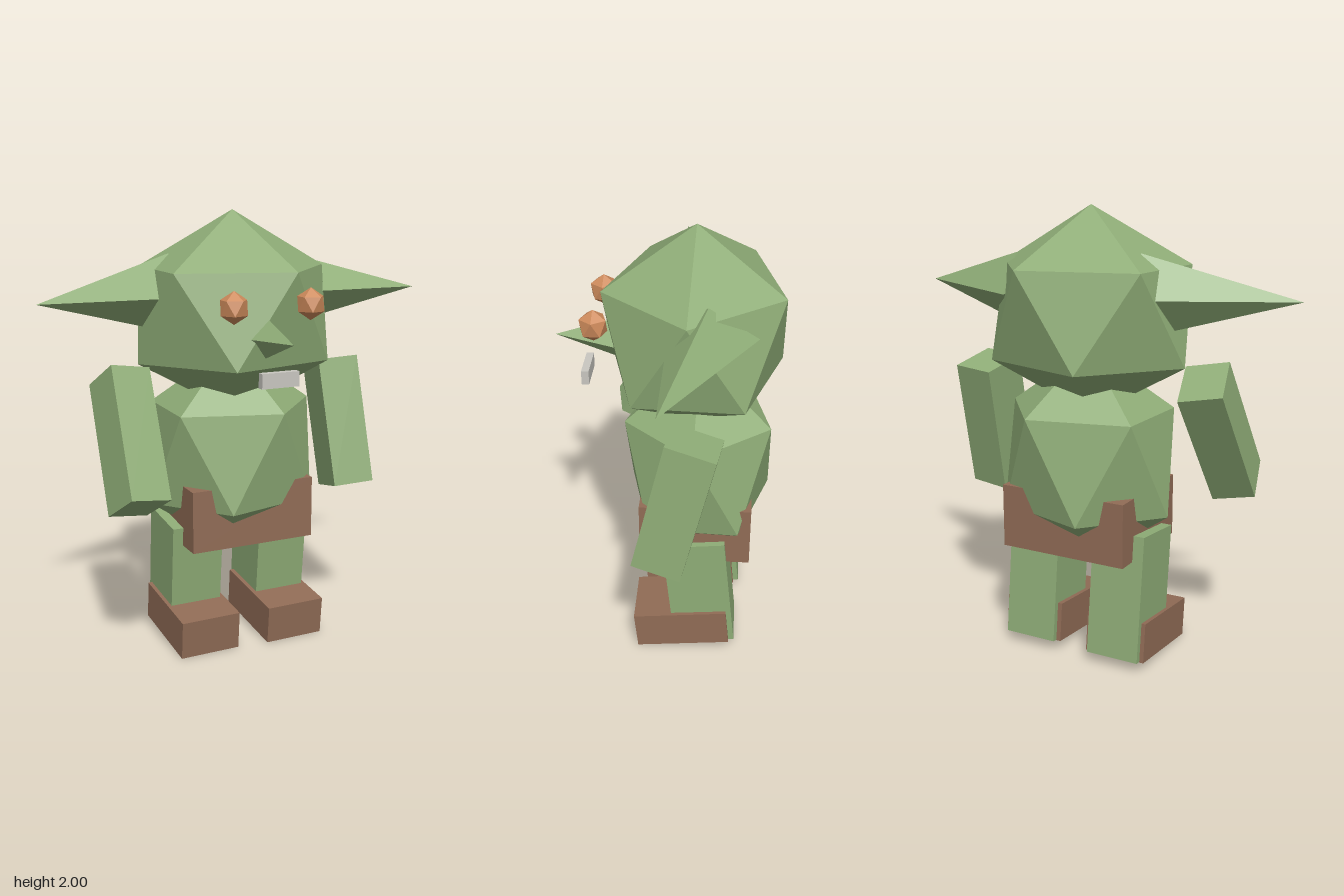
import * as THREE from 'three';
import { ConvexGeometry } from 'three/addons/geometries/ConvexGeometry.js';

const flat = (name, color) => {
  const m = new THREE.MeshStandardMaterial({ color });
  m.name = name;
  return m;
};

export function createModel() {
  const model = new THREE.Group();
  const skin = flat('greenSkin', 0x8fad77);
  const leather = flat('brownLeather', 0x916c56);
  const amber = flat('amberEye', 0xcd8a5b);
  const tooth = flat('paleTooth', 0xc9c7c1);

  const add = (name, geometry, material) => {
    const mesh = new THREE.Mesh(geometry, material);
    mesh.name = name;
    model.add(mesh);
    return mesh;
  };

  // Faceted solid through a handful of corners
  const hull = (points) => new ConvexGeometry(points.map((p) => new THREE.Vector3(...p)));

  // Upright icosahedron with a radius per axis
  const ico = ([cx, cy, cz], [rx, ry, rz]) => {
    const points = [[cx, cy + ry, cz], [cx, cy - ry, cz]];
    for (let i = 0; i < 5; i++) {
      const a = (i * Math.PI * 2) / 5;
      const x = 0.8944 * rx * Math.cos(a);
      const z = 0.8944 * rz * Math.sin(a);
      points.push([cx + x, cy + 0.4472 * ry, cz + z], [cx - x, cy - 0.4472 * ry, cz - z]);
    }
    return hull(points);
  };

  // Tilted block: top front corner plus its edges across, down and back
  const block = (corner, across, down, back) => {
    const v = (a) => new THREE.Vector3(...a);
    const basis = new THREE.Matrix4().makeBasis(v(across), v(down), v(back)).setPosition(v(corner));
    return new THREE.BoxGeometry(1, 1, 1).translate(0.5, 0.5, 0.5).applyMatrix4(basis);
  };

  // Head and body
  add('head', ico([0, 1.54, -0.12], [0.508, 0.46, 0.45]), skin);
  add('body', ico([0, 0.895, -0.145], [0.445, 0.495, 0.38]), skin);

  // Ears: tip, front, rear, top and bottom corners
  add('leftEar', hull([
    [0.915, 1.63, -0.055], [0.27, 1.63, -0.03], [0.27, 1.63, -0.4], [0.34, 1.79, -0.195], [0.36, 1.48, -0.165],
  ]), skin);
  add('rightEar', hull([
    [-0.92, 1.63, -0.005], [-0.27, 1.63, 0], [-0.27, 1.63, -0.34], [-0.28, 1.81, -0.19], [-0.36, 1.48, -0.17],
  ]), skin);

  // Face
  add('nose', hull([
    [0.01, 1.475, 0.49], [-0.09, 1.47, 0.21], [0.105, 1.47, 0.21], [0.005, 1.565, 0.22], [0.005, 1.375, 0.21],
  ]), skin);
  add('leftEye', ico([0.187, 1.615, 0.29], [0.066, 0.07, 0.066]), amber);
  add('rightEye', ico([-0.172, 1.615, 0.3], [0.066, 0.07, 0.066]), amber);
  const teeth = add('teeth', new THREE.BoxGeometry(0.175, 0.065, 0.033), tooth);
  teeth.position.set(0.01, 1.312, 0.355);
  teeth.rotation.y = 0.03;

  // Arms
  add('leftArm', block([0.42, 1.305, -0.07], [0.195, 0.012, 0.02], [0.025, -0.59, 0.14], [0.025, -0.05, -0.21]), skin);
  add('rightArm', block([-0.61, 1.36, -0.01], [0.185, -0.03, -0.04], [-0.025, -0.51, 0.33], [-0.05, -0.115, -0.18]), skin);

  // Loincloth
  const cloth = add('loincloth', new THREE.BoxGeometry(0.6, 0.285, 0.5), leather);
  cloth.position.set(0, 0.642, -0.143);
  cloth.rotation.y = 0.03;

  // Legs and boots
  for (const [side, legX, bootX] of [['left', 0.087, 0.075], ['right', -0.345, -0.355]]) {
    add(side + 'Leg', block([legX, 0.585, 0], [0.248, 0, -0.009], [0, -0.565, -0.06], [-0.01, 0.03, -0.28]), skin);
    add(side + 'Boot', block([bootX, 0.18, 0.135], [0.285, 0, -0.012], [0, -0.178, -0.018], [-0.018, 0.043, -0.43]), leather);
  }

  return model;
}
